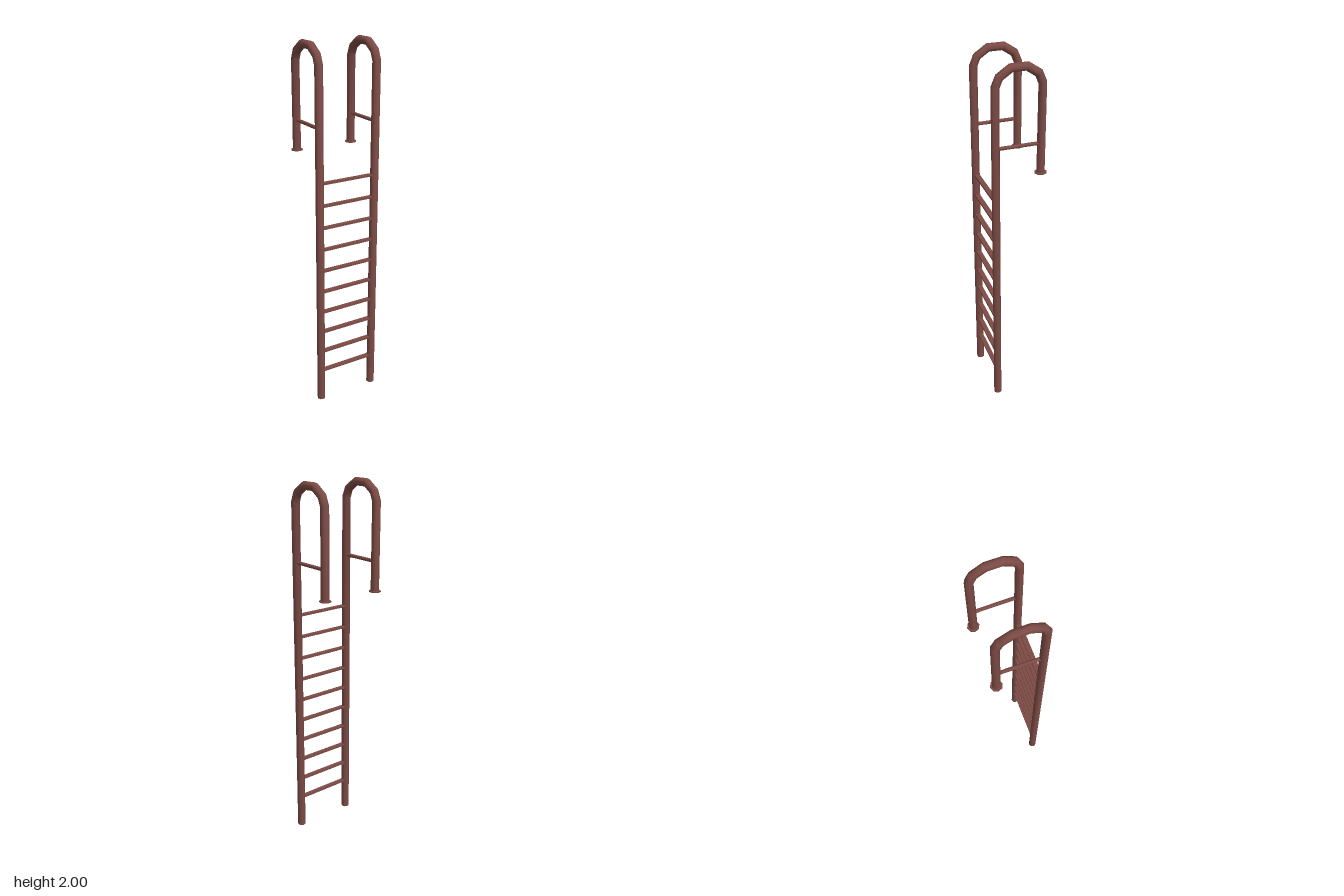
import * as THREE from 'three';

const RAIL_X = 0.168, FRONT_Z = 0.123, BACK_Z = -0.116, RAIL_R = 0.0225;
const SIDES = 8, FOOT_Y = 1.42;

// Polyline whose tube rings fall exactly on the given points
class Polyline extends THREE.Curve {
  constructor(points) {
    super();
    this.points = points;
  }
  index(u) {
    return Math.round(u * (this.points.length - 1));
  }
  getPointAt(u, target = new THREE.Vector3()) {
    return target.copy(this.points[this.index(u)]);
  }
  getTangentAt(u, target = new THREE.Vector3()) {
    const p = this.points, i = this.index(u);
    target.set(0, 0, 0);
    if (i > 0) target.add(p[i].clone().sub(p[i - 1]).normalize());
    if (i < p.length - 1) target.add(p[i + 1].clone().sub(p[i]).normalize());
    return target.normalize();
  }
}

export function createModel() {
  const model = new THREE.Group();
  model.name = 'poolLadder';
  const material = new THREE.MeshStandardMaterial({ color: 0x7d4b45 });

  function add(parent, name, geometry, x, y, z) {
    const mesh = new THREE.Mesh(geometry, material);
    mesh.name = name;
    mesh.position.set(x, y, z);
    parent.add(mesh);
    return mesh;
  }

  // Side profile of a rail: tall front post, arch, short back post
  const midZ = (FRONT_Z + BACK_Z) / 2, halfZ = (FRONT_Z - BACK_Z) / 2;
  const points = [new THREE.Vector3(0, 0, FRONT_Z)];
  for (const [k, y] of [[1, 1.89], [0.83, 1.938], [0.34, 1.977], [-0.34, 1.977], [-0.83, 1.938], [-1, 1.89]]) {
    points.push(new THREE.Vector3(0, y, midZ + k * halfZ));
  }
  points.push(new THREE.Vector3(0, FOOT_Y, BACK_Z));
  const railGeometry = new THREE.TubeGeometry(new Polyline(points), points.length - 1, RAIL_R, SIDES, false);
  const capGeometry = new THREE.CircleGeometry(RAIL_R, SIDES).rotateX(Math.PI / 2);
  const flangeGeometry = new THREE.CylinderGeometry(0.032, 0.032, 0.006, SIDES);
  const braceGeometry = new THREE.CylinderGeometry(0.01, 0.01, FRONT_Z - BACK_Z, SIDES).rotateX(Math.PI / 2);

  // Matching left and right handrails
  for (const [side, sign] of [['left', 1], ['right', -1]]) {
    const rail = new THREE.Group();
    rail.name = side + 'Handrail';
    rail.position.x = sign * RAIL_X;
    model.add(rail);
    add(rail, side + 'Rail', railGeometry, 0, 0, 0);
    add(rail, side + 'RailEndCap', capGeometry, 0, 0, FRONT_Z);
    add(rail, side + 'Flange', flangeGeometry, 0, FOOT_Y, BACK_Z);
    add(rail, side + 'Brace', braceGeometry, 0, 1.58, midZ);
  }

  // Flat rungs between the front posts
  const rungGeometry = new THREE.BoxGeometry(RAIL_X * 2, 0.01, 0.027);
  for (let i = 0; i < 10; i++) {
    add(model, 'rung' + (i + 1), rungGeometry, 0, 0.182 + i * 0.1233, FRONT_Z);
  }
  return model;
}
